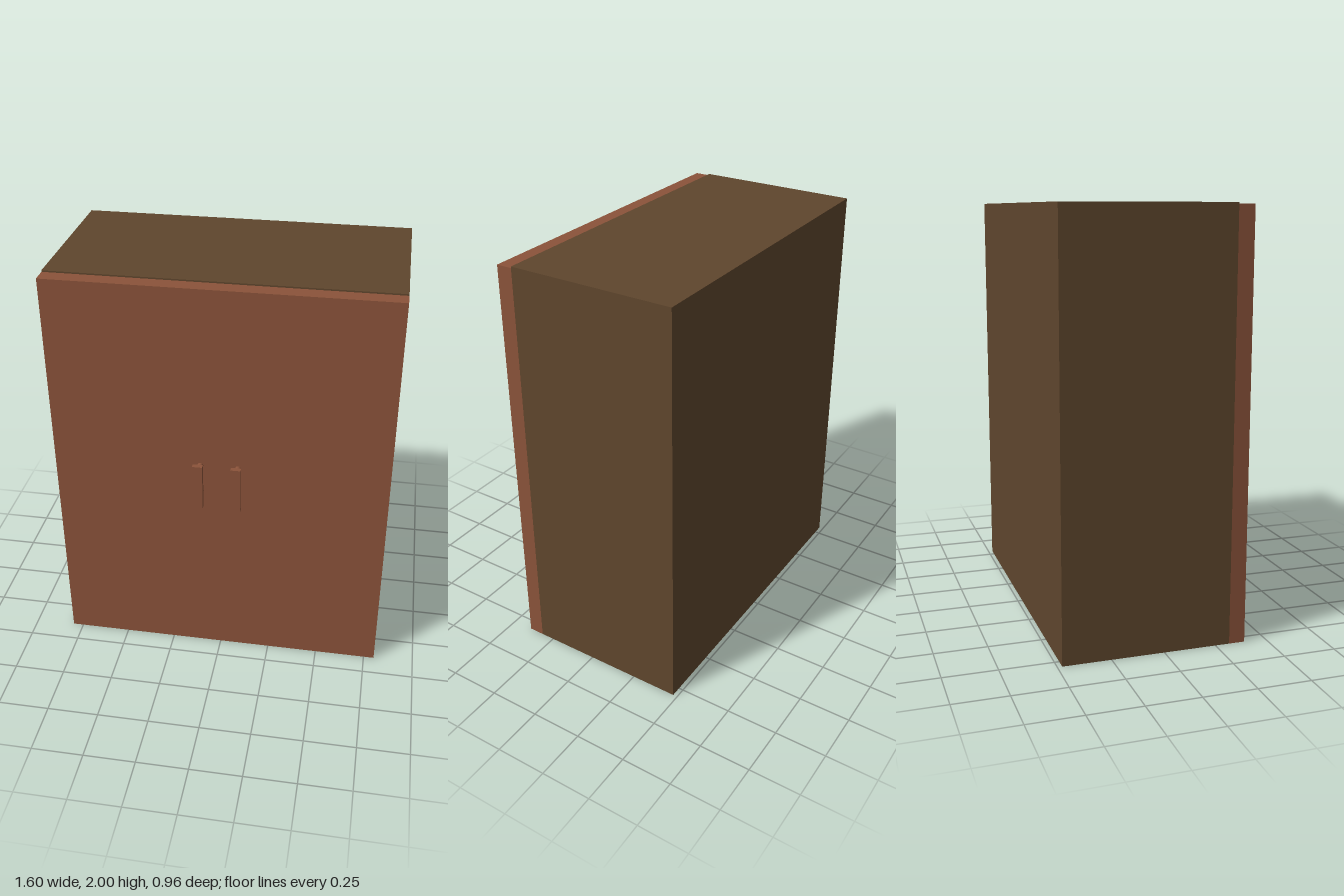
import * as THREE from 'three';

const carcassWood = new THREE.MeshStandardMaterial({ color: 0x5f462d });
carcassWood.name = 'dark brown wood';
const doorWood = new THREE.MeshStandardMaterial({ color: 0x8b533a });
doorWood.name = 'reddish brown wood';

// Box given by its extents on each axis
function box(name, material, [x0, x1], [y0, y1], [z0, z1]) {
  const geometry = new THREE.BoxGeometry(x1 - x0, y1 - y0, z1 - z0);
  const mesh = new THREE.Mesh(geometry, material);
  mesh.position.set((x0 + x1) / 2, (y0 + y1) / 2, (z0 + z1) / 2);
  mesh.name = name;
  return mesh;
}

// Flat grip bar on two round posts
function handle(name, x) {
  const group = new THREE.Group();
  group.name = name;
  group.add(box('gripBar', doorWood, [-0.024, 0.024], [0.912, 1.14], [0.455, 0.478]));
  for (const y of [0.956, 1.097]) {
    const post = new THREE.Mesh(new THREE.CylinderGeometry(0.014, 0.014, 0.07, 20), doorWood);
    post.rotation.x = Math.PI / 2;
    post.position.set(0, y, 0.425);
    post.name = 'handlePost';
    group.add(post);
  }
  group.position.x = x;
  return group;
}

export function createModel() {
  const model = new THREE.Group();
  model.name = 'cabinet';

  // Body and the slightly lower door front
  model.add(box('carcass', carcassWood, [-0.802, 0.802], [0, 2], [-0.478, 0.318]));
  model.add(box('doorFront', doorWood, [-0.802, 0.802], [0, 1.993], [0.318, 0.394]));

  // Handles either side of the centre line
  model.add(handle('leftHandle', 0.09), handle('rightHandle', -0.09));
  return model;
}
